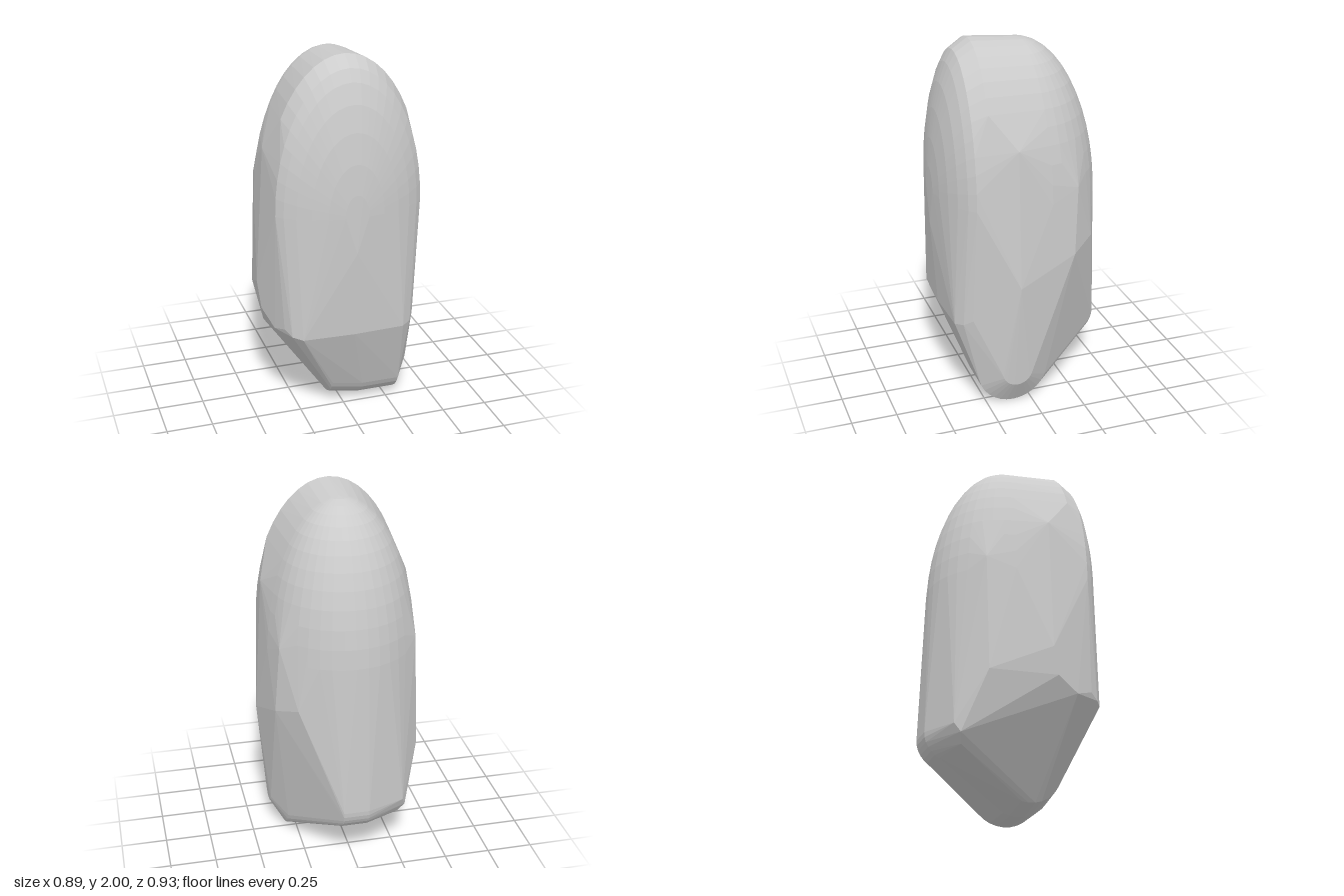
import * as THREE from 'three';
import { ConvexGeometry } from 'three/addons/geometries/ConvexGeometry.js';

export function createModel() {
  const points = [];
  const add = (x, y, z) => points.push(new THREE.Vector3(x, y, z));
  const both = (x, y, z) => { add(x, y, z); add(-x, y, z); };

  // Front dome: arches that shrink as they bulge forward from the top crease
  for (const s of [1, 0.93, 0.85, 0.72, 0.55, 0.35, 0.15]) {
    const z = 0.24 + 0.225 * Math.sqrt(1 - s * s);
    for (let i = 0; i <= 24; i++) {
      const a = Math.PI * i / 24;
      const y = 1.2 + 0.8 * s * Math.sin(a);
      if (s < 1 || y > 1.6) add(0.425 * s * Math.cos(a), y, z);
    }
  }

  // Back dome: quarter ellipsoid behind the crease
  for (let i = 0; i <= 12; i++) {
    const lat = 0.1 + (Math.PI / 2 - 0.1) * i / 12;
    for (let j = 0; j <= 20; j++) {
      const a = Math.PI * j / 20;
      add(0.41 * Math.cos(lat) * Math.cos(a), 1.1 + 0.88 * Math.sin(lat),
        -0.02 - 0.425 * Math.cos(lat) * Math.sin(a));
    }
  }

  // Side facets
  both(0.4, 1.5, 0.1);
  both(0.445, 0.75, 0.1);
  both(0.365, 1.25, -0.24);
  add(0.39, 0.88, -0.22);
  add(0.29, 0.93, -0.35);
  add(-0.39, 0.6, -0.23);
  add(-0.43, 0.6, 0.13);

  // Front lower edge with rounded corners
  both(0, 1.0, 0.465);
  both(0.28, 0.52, 0.42);
  both(0.33, 0.53, 0.385);
  both(0.36, 0.56, 0.34);
  add(-0.39, 0.53, 0.25);
  add(0, 0.52, 0.432);

  // Rounded keel at the bottom, ending in a narrow tip on one side
  for (let i = 0; i <= 16; i++) {
    const a = Math.PI * (1 + i / 16);
    const c = Math.cos(a), s = Math.sin(a);
    add(-0.07, 0.22 + 0.19 * s, 0.1 + 0.19 * c);
    add(0.1, 0.2 + 0.2 * s, 0.1 + 0.2 * c);
    add(0.31, 0.2 + 0.2 * s, 0.1 + 0.2 * c);
    add(0.39, 0.225 + 0.085 * s, 0.1 + 0.085 * c);
  }

  // Rounded lower back corner
  for (let i = 0; i <= 6; i++) {
    const a = 1.15 * i / 6;
    both(0.07, 0.34 - 0.14 * Math.sin(a), -0.325 - 0.14 * Math.cos(a));
  }
  add(-0.28, 0.33, -0.375);
  add(-0.3, 0.28, -0.345);
  add(-0.26, 0.23, -0.33);

  const body = new THREE.Mesh(
    new ConvexGeometry(points),
    new THREE.MeshStandardMaterial({ color: 0xcccccc, flatShading: true })
  );
  body.name = 'facetedBody';
  const group = new THREE.Group();
  group.name = 'domedStone';
  group.add(body);
  return group;
}
